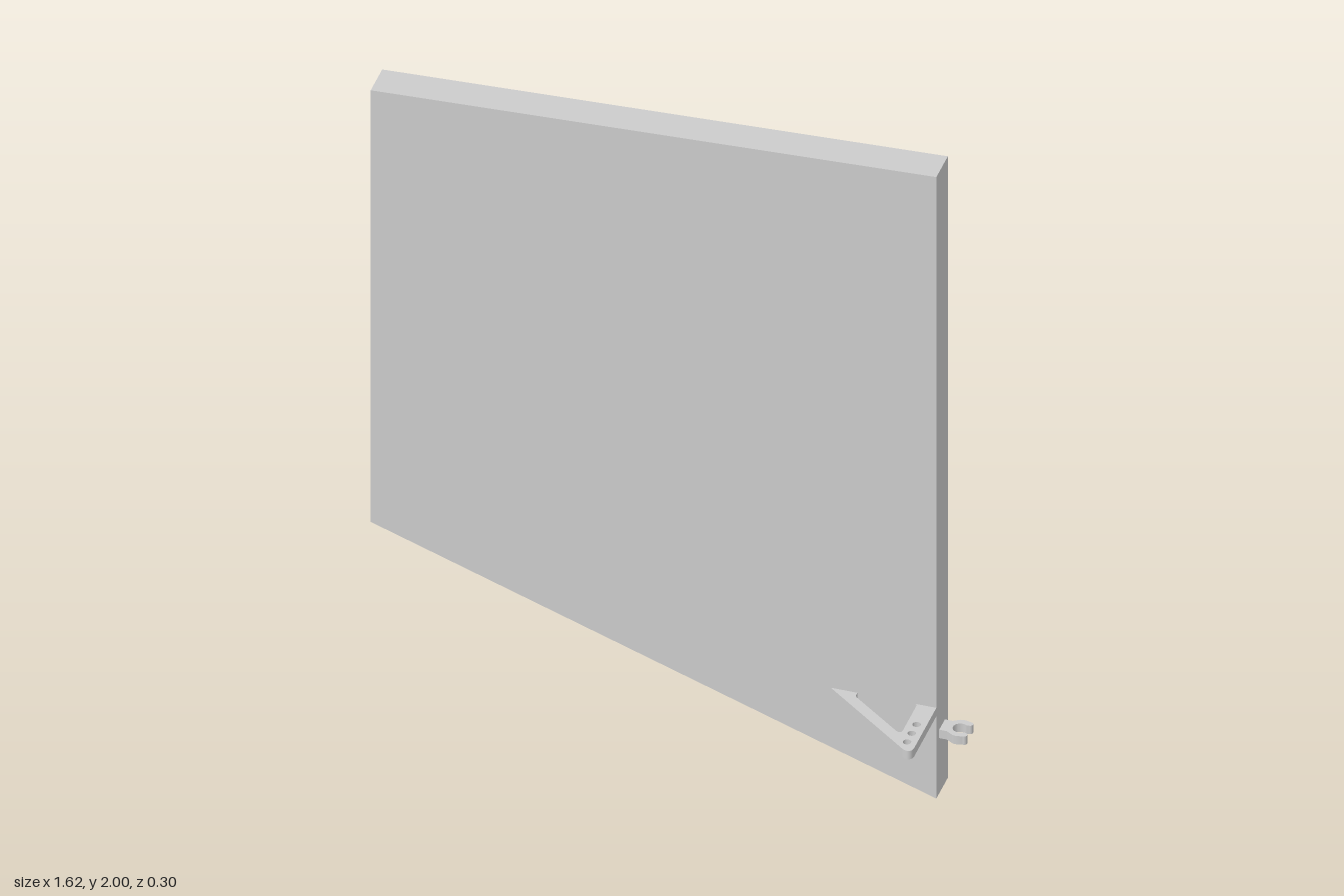
import * as THREE from 'three';

const material = new THREE.MeshStandardMaterial({ color: 0xcccccc, flatShading: true });
const FRONT = -0.054, BACK = -0.151, EDGE = 0.735;

// Extrude a shape and name the mesh
function extrude(name, shape, depth) {
  const geometry = new THREE.ExtrudeGeometry(shape, { depth, bevelEnabled: false, curveSegments: 16 });
  const mesh = new THREE.Mesh(geometry, material);
  mesh.name = name;
  return mesh;
}

// Horizontal plate: shape drawn in (x, -z), thickness running up from y
function plate(name, shape, y, thickness) {
  const mesh = extrude(name, shape, thickness);
  mesh.geometry.rotateX(-Math.PI / 2);
  mesh.position.y = y;
  return mesh;
}

export function createModel() {
  const model = new THREE.Group();
  model.name = 'bracketedPanel';

  // Slanted four-sided panel
  const outline = new THREE.Shape([
    [-0.813, 0.543], [EDGE, 0], [EDGE, 2], [-0.813, 1.932],
  ].map(([x, y]) => new THREE.Vector2(x, y)));
  const panel = extrude('panel', outline, FRONT - BACK);
  panel.position.z = BACK;
  model.add(panel);

  // Bracket: straight leg and diagonal brace meeting at a rounded tip
  const arm = new THREE.Shape();
  arm.moveTo(0.446, -FRONT);
  arm.lineTo(0.697, -0.138);
  arm.quadraticCurveTo(0.712, -0.151, 0.722, -0.151);
  arm.quadraticCurveTo(EDGE, -0.149, EDGE, -0.132);
  arm.lineTo(EDGE, -FRONT);
  arm.lineTo(0.677, -FRONT);
  arm.quadraticCurveTo(0.683, 0.052, 0.683, 0.045);
  arm.lineTo(0.683, -0.067);
  arm.quadraticCurveTo(0.682, -0.084, 0.667, -0.075);
  arm.lineTo(0.525, 0.033);
  arm.quadraticCurveTo(0.519, 0.038, 0.519, 0.043);
  arm.lineTo(0.519, -FRONT);
  for (const z of [0.032, 0.073, 0.113]) {
    arm.holes.push(new THREE.Path().absarc(0.709, -z, 0.011, 0, Math.PI * 2, true));
  }
  model.add(plate('bracket', arm, 0.265, 0.027));

  // Open clip on the panel edge: stem flaring into two rounded jaws
  const cz = 0.102, cx = 0.785, inner = 0.02;
  const clip = new THREE.Shape();
  clip.moveTo(EDGE, cz - 0.024);
  clip.lineTo(0.756, cz - 0.024);
  clip.lineTo(0.774, cz - 0.035);
  clip.quadraticCurveTo(0.785, cz - 0.039, 0.802, cz - 0.033);
  clip.absarc(0.804, cz - 0.025, 0.008, -Math.PI / 2, Math.PI / 2, false);
  clip.lineTo(0.798, cz - 0.016);
  clip.absarc(cx, cz, inner, -0.9, 0.9, true);
  clip.lineTo(0.804, cz + 0.017);
  clip.absarc(0.804, cz + 0.025, 0.008, -Math.PI / 2, Math.PI / 2, false);
  clip.lineTo(0.802, cz + 0.033);
  clip.quadraticCurveTo(0.785, cz + 0.039, 0.774, cz + 0.035);
  clip.lineTo(0.756, cz + 0.024);
  clip.lineTo(EDGE, cz + 0.024);
  model.add(plate('clip', clip, 0.178, 0.027));

  return model;
}
